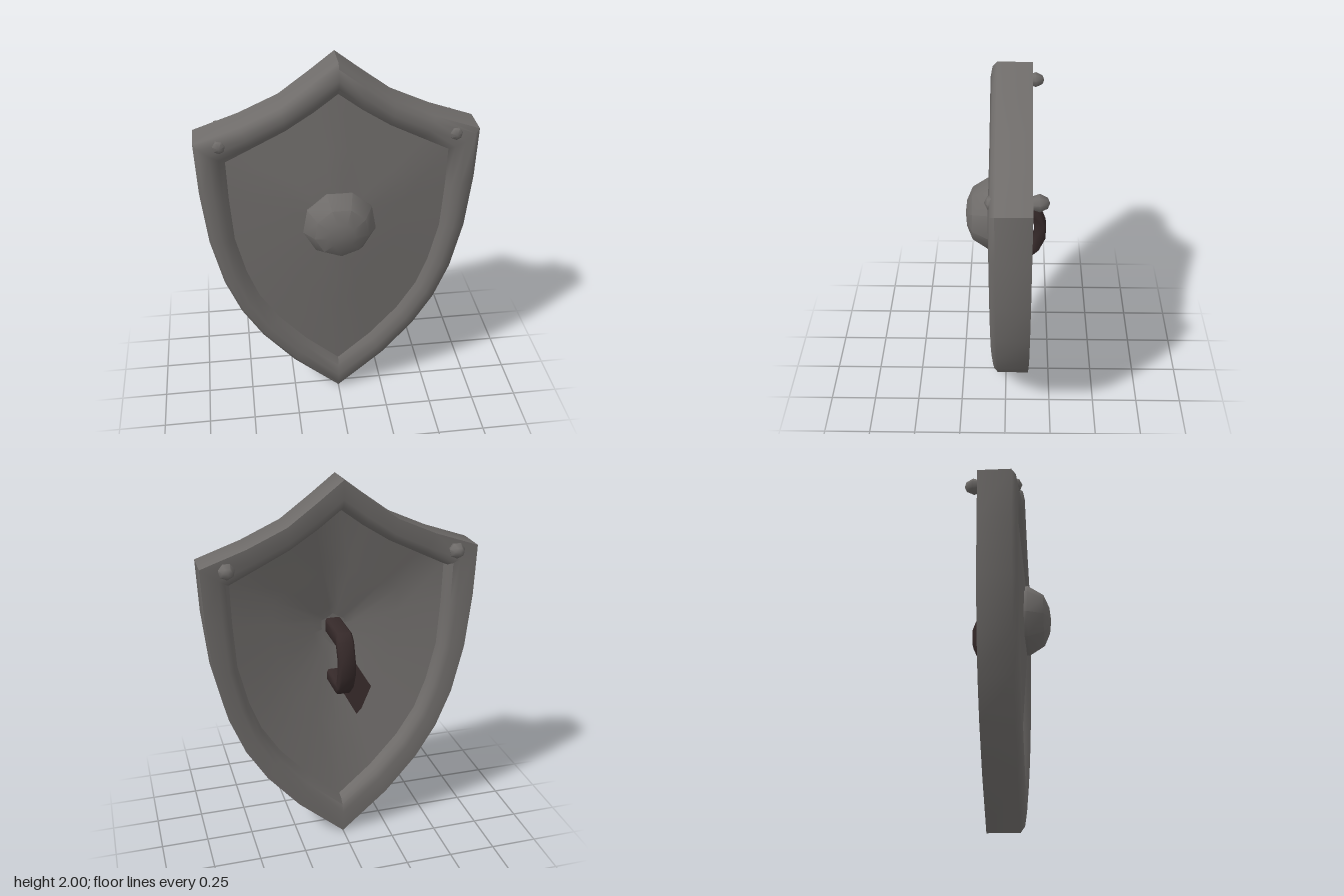
import * as THREE from 'three';
import { toCreasedNormals } from 'three/addons/utils/BufferGeometryUtils.js';

const { lerp } = THREE.MathUtils;
const mirrorLoop = (half) => [...half, ...half.slice(1, -1).reverse().map(([x, y]) => [-x, y])];

// Outlines of the rim, running clockwise from the top point
const OUTER = mirrorLoop([[0, 2], [0.13, 1.9], [0.28, 1.79], [0.48, 1.7], [0.71, 1.62], [0.7, 1.35],
  [0.67, 1.06], [0.61, 0.8], [0.53, 0.6], [0.42, 0.42], [0.25, 0.22], [0, 0]]);
const INNER = mirrorLoop([[0, 1.84], [0.12, 1.75], [0.26, 1.66], [0.42, 1.58], [0.56, 1.51], [0.555, 1.3],
  [0.54, 1.06], [0.49, 0.85], [0.43, 0.69], [0.33, 0.53], [0.18, 0.36], [0, 0.2]]);
const CENTRE_Y = 1.17;

// Joins rows of points around a closed loop: point(i, j) gives [x, y, z]
function loopSurface(stations, rows, point, crease) {
  const pos = [];
  for (let i = 0; i < stations; i++) {
    const i2 = (i + 1) % stations;
    for (let j = 0; j < rows - 1; j++) {
      const a = point(i, j), b = point(i, j + 1), c = point(i2, j + 1), d = point(i2, j);
      pos.push(...a, ...b, ...c, ...a, ...c, ...d);
    }
  }
  const geo = new THREE.BufferGeometry();
  geo.setAttribute('position', new THREE.Float32BufferAttribute(pos, 3));
  return toCreasedNormals(geo, crease);
}

export function createModel() {
  const group = new THREE.Group();
  const steel = new THREE.MeshStandardMaterial({ name: 'darkSteel', color: 0x6e6b69, side: THREE.DoubleSide });
  const leather = new THREE.MeshStandardMaterial({ name: 'darkLeather', color: 0x352929, side: THREE.DoubleSide });
  const add = (name, geo, mat) => {
    const mesh = new THREE.Mesh(geo, mat);
    mesh.name = name;
    group.add(mesh);
    return mesh;
  };

  // Rim: rounded section, [share of the way from outer to inner outline, z]
  const section = [[1, -0.045], [0.95, -0.085], [0.82, -0.112], [0.6, -0.125], [0, -0.125], [0, 0.042],
    [0.15, 0.063], [0.5, 0.073], [0.8, 0.056], [1, 0.03]];
  add('rim', loopSurface(OUTER.length, section.length, (i, j) => {
    const [t, z] = section[j];
    return [lerp(OUTER[i][0], INNER[i][0], t), lerp(OUTER[i][1], INNER[i][1], t), z];
  }, 0.85), steel);

  // Panels: a shallow front face and a deeper hollow behind, [share of inner outline, z]
  const frontRings = [[1, 0.03], [0.6, 0.055], [0.2, 0.08], [0.001, 0.085]];
  const backRings = [[0.001, 0.1], [0.2, 0.068], [0.6, 0.012], [1, -0.045]];
  const ringPoint = (rings, i, j) => {
    const [t, z] = rings[j];
    return [INNER[i][0] * t, lerp(CENTRE_Y, INNER[i][1], t), z];
  };
  for (const [name, rings] of [['frontPanel', frontRings], ['backPanel', backRings]]) {
    add(name, loopSurface(INNER.length, rings.length, (i, j) => ringPoint(rings, i, j), 0.8), steel);
  }

  // Leather patch lying in the back hollow: s runs around it, u runs inward
  const patchPoint = ([s, u]) => {
    const i = Math.floor(s);
    const [a, b] = [i, i + 1].map((k) => {
      const p = ringPoint(backRings, k, 2), r = ringPoint(backRings, k, 1);
      return p.map((v, n) => lerp(v, r[n], u));
    });
    return a.map((v, n) => lerp(v, b[n], s - i) - (n === 2 ? 0.006 : 0));
  };
  const corners = [[12, -0.06], [12.3, -0.06], [13.15, 0.08], [13, 0.92], [12, 0.92], [11.3, 0.6]].map(patchPoint);
  const patch = new THREE.BufferGeometry();
  patch.setAttribute('position', new THREE.Float32BufferAttribute(
    [1, 2, 3, 4].flatMap((k) => [corners[0], corners[k], corners[k + 1]]).flat(), 3));
  patch.computeVertexNormals();
  add('backPatch', patch, leather);

  // Boss: low faceted dome
  const profile = [[0.188, 0.065], [0.192, 0.088], [0.14, 0.172], [0.07, 0.202], [0, 0.21]];
  const boss = new THREE.LatheGeometry(profile.map(([r, h]) => new THREE.Vector2(r, h)), 9);
  boss.rotateX(Math.PI / 2);
  boss.translate(0, 1.14, 0);
  add('boss', toCreasedNormals(boss, 0.72), steel);

  // Handle: flat bent strap behind the panel, drawn from the side as [-z, y]
  const strap = new THREE.Shape([[-0.08, 1.215], [0.125, 1.215], [0.168, 1.185], [0.205, 1.08], [0.205, 1.0],
    [0.17, 0.92], [0.125, 0.875], [-0.05, 0.875], [-0.05, 0.93], [0.11, 0.93], [0.135, 0.955],
    [0.155, 1.02], [0.15, 1.09], [0.125, 1.145], [-0.08, 1.145]].map(([x, y]) => new THREE.Vector2(x, y)));
  const handle = new THREE.ExtrudeGeometry(strap, {
    depth: 0.066, bevelThickness: 0.01, bevelSize: 0.01, bevelOffset: -0.006, bevelSegments: 1 });
  handle.translate(0, 0, -0.033);
  handle.rotateY(Math.PI / 2);
  add('handle', toCreasedNormals(handle, 0.9), leather);

  // Rivets: a stud behind and a low head in front at each upper corner of the rim
  const studProfile = [[0, -0.2], [0.025, -0.19], [0.042, -0.155], [0.03, -0.12]];
  const headProfile = [[0.035, 0.055], [0.03, 0.075], [0, 0.09]];
  for (const side of [1, -1]) {
    for (const [name, profilePoints] of [['Stud', studProfile], ['RivetHead', headProfile]]) {
      const geo = new THREE.LatheGeometry(profilePoints.map(([r, h]) => new THREE.Vector2(r, h)), 7);
      geo.rotateX(Math.PI / 2);
      add((side > 0 ? 'left' : 'right') + name, toCreasedNormals(geo, 1), steel)
        .position.set(side * 0.585, 1.61, 0);
    }
  }
  return group;
}
